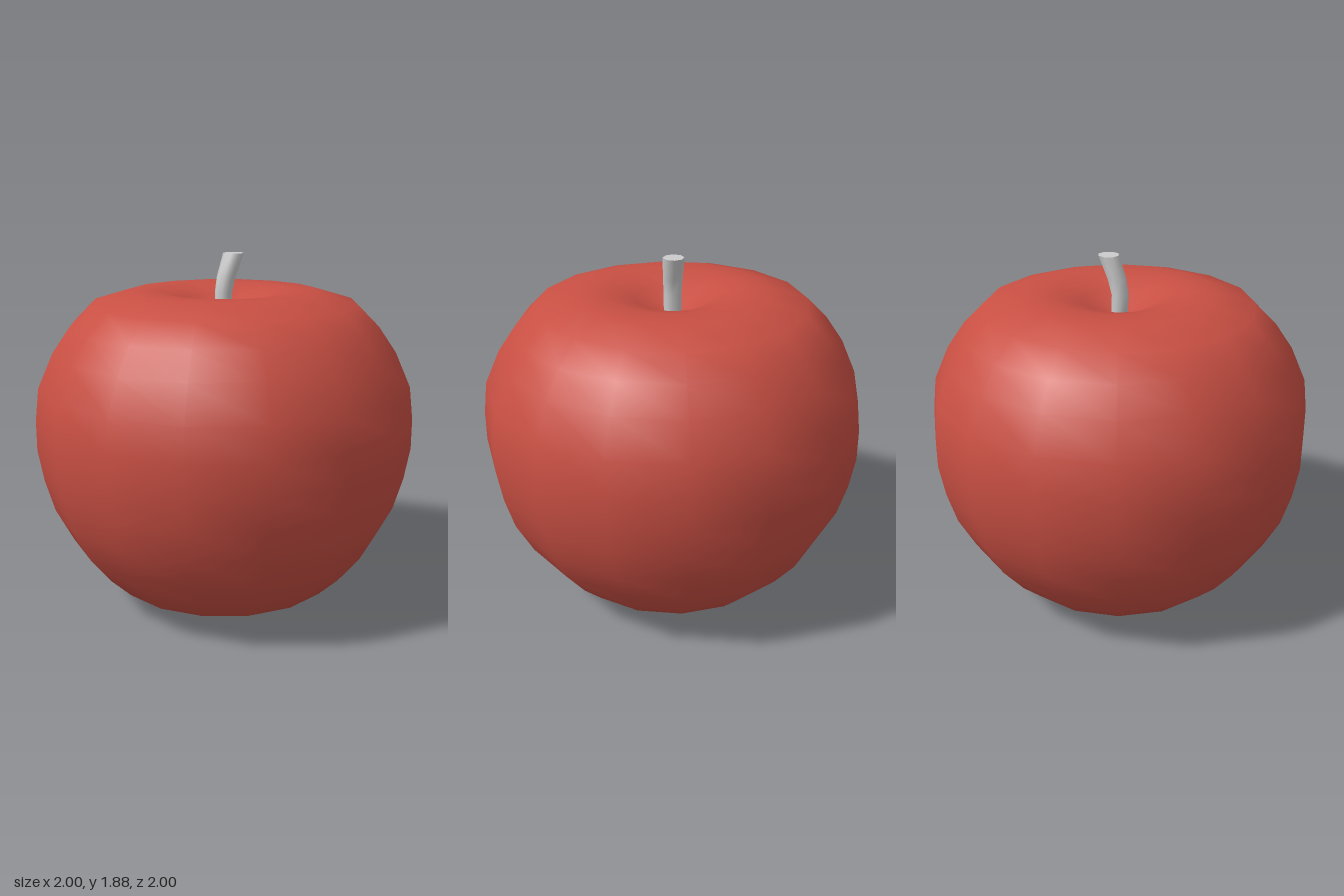
import * as THREE from 'three';
import { toCreasedNormals } from 'three/addons/utils/BufferGeometryUtils.js';

export function createModel() {
  const model = new THREE.Group();
  model.name = 'apple';

  // Fruit: a 16-sided lathe with a dimple at the top
  const profile = [
    [0, 0.03], [0.32, 0], [0.6, 0.115], [0.71, 0.22], [0.83, 0.37], [0.92, 0.54],
    [0.97, 0.71], [1, 0.88], [1, 1.04], [0.98, 1.21], [0.9, 1.39], [0.81, 1.52],
    [0.7, 1.63], [0.5, 1.69], [0.35, 1.69], [0.2, 1.65], [0.09, 1.58], [0, 1.56],
  ].map(([r, y]) => new THREE.Vector2(r, y));
  const fruit = new THREE.Mesh(
    new THREE.LatheGeometry(profile, 16),
    new THREE.MeshStandardMaterial({ color: 0xc84f43 })
  );
  fruit.name = 'fruit';
  model.add(fruit);

  // Stem: level rings that shift sideways and widen towards the top
  const rings = [
    { y: 1.54, x: 0, r: 0.045 },
    { y: 1.68, x: -0.003, r: 0.046 },
    { y: 1.76, x: 0.014, r: 0.05 },
    { y: 1.88, x: 0.06, r: 0.055 },
  ];
  const stemGeometry = new THREE.CylinderGeometry(1, 1, 3, 8, 3);
  const position = stemGeometry.attributes.position;
  for (let i = 0; i < position.count; i++) {
    const { x, y, r } = rings[Math.round(position.getY(i) + 1.5)];
    position.setXYZ(i, position.getX(i) * r + x, y, position.getZ(i) * r);
  }
  const stem = new THREE.Mesh(
    toCreasedNormals(stemGeometry, Math.PI / 3.2),
    new THREE.MeshStandardMaterial({ color: 0xcccccc })
  );
  stem.name = 'stem';
  model.add(stem);

  return model;
}
